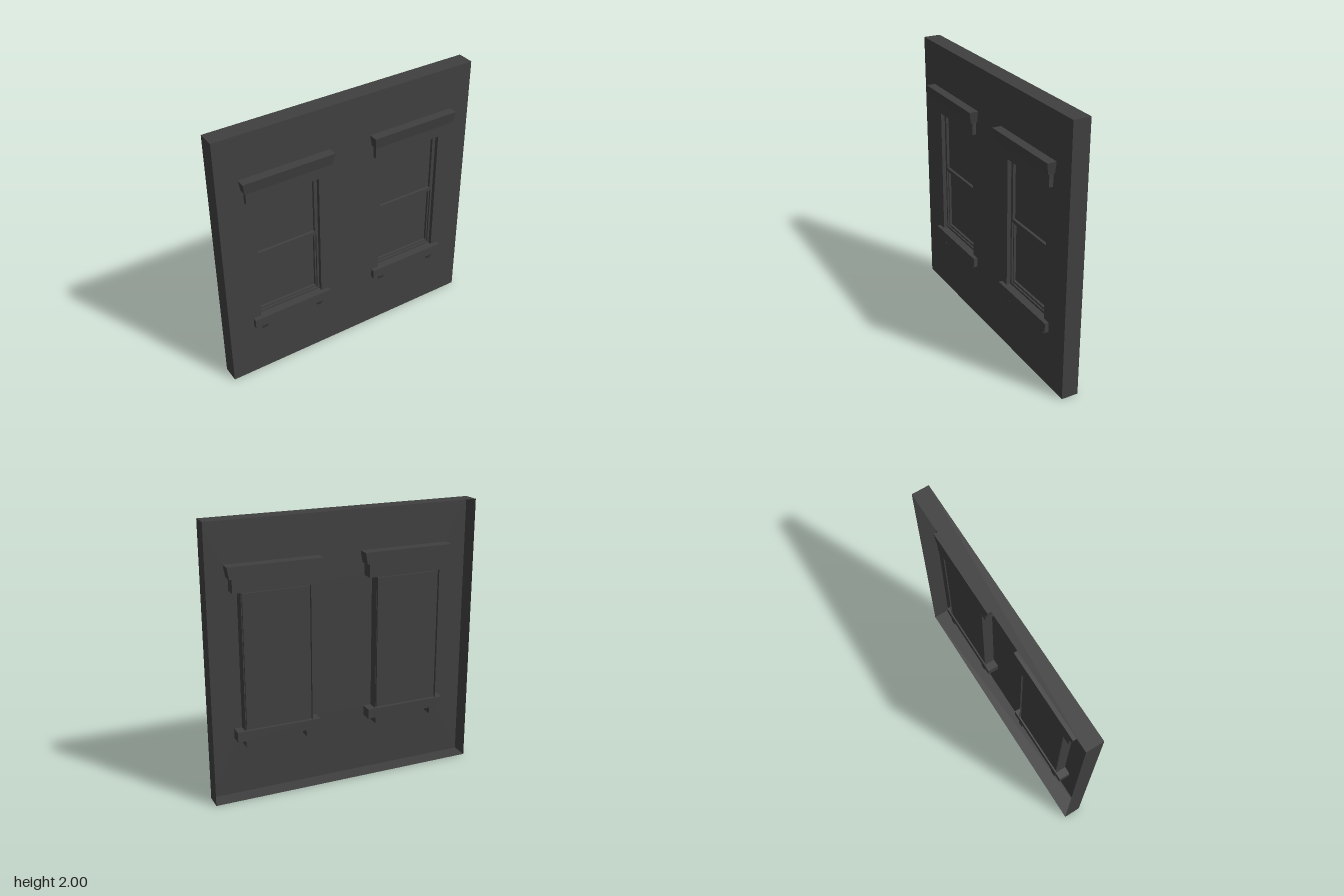
import * as THREE from 'three';

const mat = new THREE.MeshStandardMaterial({ color: 0x404040, flatShading: true, side: THREE.DoubleSide });
const FRONT = 0.03, BACK = -0.096, TRIM_BACK = -0.055;

function add(parent, name, geometry) {
  const mesh = new THREE.Mesh(geometry, mat);
  mesh.name = name;
  parent.add(mesh);
  return mesh;
}

// Block given by its limits; the lower end can be drawn in at the sides and front
function block(x0, x1, y0, y1, z0, z1, sideTaper = 0, frontTaper = 0) {
  const g = new THREE.BoxGeometry(x1 - x0, y1 - y0, z1 - z0);
  const p = g.attributes.position;
  for (let i = 0; i < p.count; i++) {
    if (p.getY(i) > 0) continue;
    p.setX(i, p.getX(i) - Math.sign(p.getX(i)) * sideTaper);
    if (p.getZ(i) > 0) p.setZ(i, p.getZ(i) - frontTaper);
  }
  g.translate((x0 + x1) / 2, (y0 + y1) / 2, (z0 + z1) / 2);
  g.computeVertexNormals();
  return g;
}

function trace(path, x0, x1, y0, y1) {
  path.moveTo(x0, y0);
  path.lineTo(x1, y0);
  path.lineTo(x1, y1);
  path.lineTo(x0, y1);
  path.closePath();
  return path;
}

// Flat panel with rectangular openings, each given as [x0, x1, y0, y1]
function panel(outer, holes) {
  const shape = trace(new THREE.Shape(), ...outer);
  for (const h of holes) shape.holes.push(trace(new THREE.Path(), ...h));
  return shape;
}

function frame(outer, holes, z0, z1) {
  const g = new THREE.ExtrudeGeometry(panel(outer, holes), { depth: z1 - z0, bevelEnabled: false });
  return g.translate(0, 0, z0);
}

function createWindow() {
  const w = new THREE.Group();
  w.name = 'window';

  // Reveal running back through the wall
  add(w, 'reveal', frame([-0.252, 0.252, 0.498, 1.502], [[-0.25, 0.25, 0.5, 1.5]], -0.05, FRONT - 0.001));

  // Stepped sashes and panes
  add(w, 'sashFrame', frame([-0.25, 0.25, 0.5, 1.5],
    [[-0.225, 0.225, 1.03, 1.48], [-0.235, 0.235, 0.52, 1.005]], -0.03, 0));
  add(w, 'lowerSash', frame([-0.235, 0.235, 0.52, 1.005],
    [[-0.225, 0.225, 0.535, 0.99]], -0.04, -0.012));
  add(w, 'upperPane', block(-0.24, 0.24, 1, 1.49, -0.045, -0.02));
  add(w, 'lowerPane', block(-0.24, 0.24, 0.51, 1.01, -0.045, -0.03));

  // Trim runs through the wall to a flat back
  add(w, 'lintel', block(-0.31, 0.31, 1.5, 1.595, TRIM_BACK, 0.06));
  add(w, 'crown', block(-0.341, 0.341, 1.595, 1.68, TRIM_BACK, 0.096, 0.015, 0.015));
  add(w, 'sill', block(-0.31, 0.31, 0.43, 0.503, TRIM_BACK, 0.06));
  for (const x of [-0.225, 0.228]) {
    add(w, 'bracket', block(x - 0.025, x + 0.025, 0.38, 0.43, TRIM_BACK, 0.052, 0.005, 0.02));
  }
  return w;
}

export function createModel() {
  const model = new THREE.Group();
  model.name = 'windowWall';

  // Wall skin with openings; the back is left open
  const skin = panel([-1, 1, 0, 2], [-0.5, 0.5].map((x) => [x - 0.25, x + 0.25, 0.5, 1.5]));
  add(model, 'wallFront', new THREE.ShapeGeometry(skin)).position.z = FRONT;

  // Four thin returns around the wall
  const depth = FRONT - BACK;
  for (let i = 0; i < 4; i++) {
    const g = new THREE.PlaneGeometry(depth, 2);
    g.rotateY(Math.PI / 2).translate(1, 0, 0).rotateZ(i * Math.PI / 2);
    add(model, 'wallEdge', g).position.set(0, 1, (FRONT + BACK) / 2);
  }

  // Pair of windows
  for (const x of [-0.5, 0.5]) {
    const w = createWindow();
    w.position.x = x;
    model.add(w);
  }
  return model;
}
